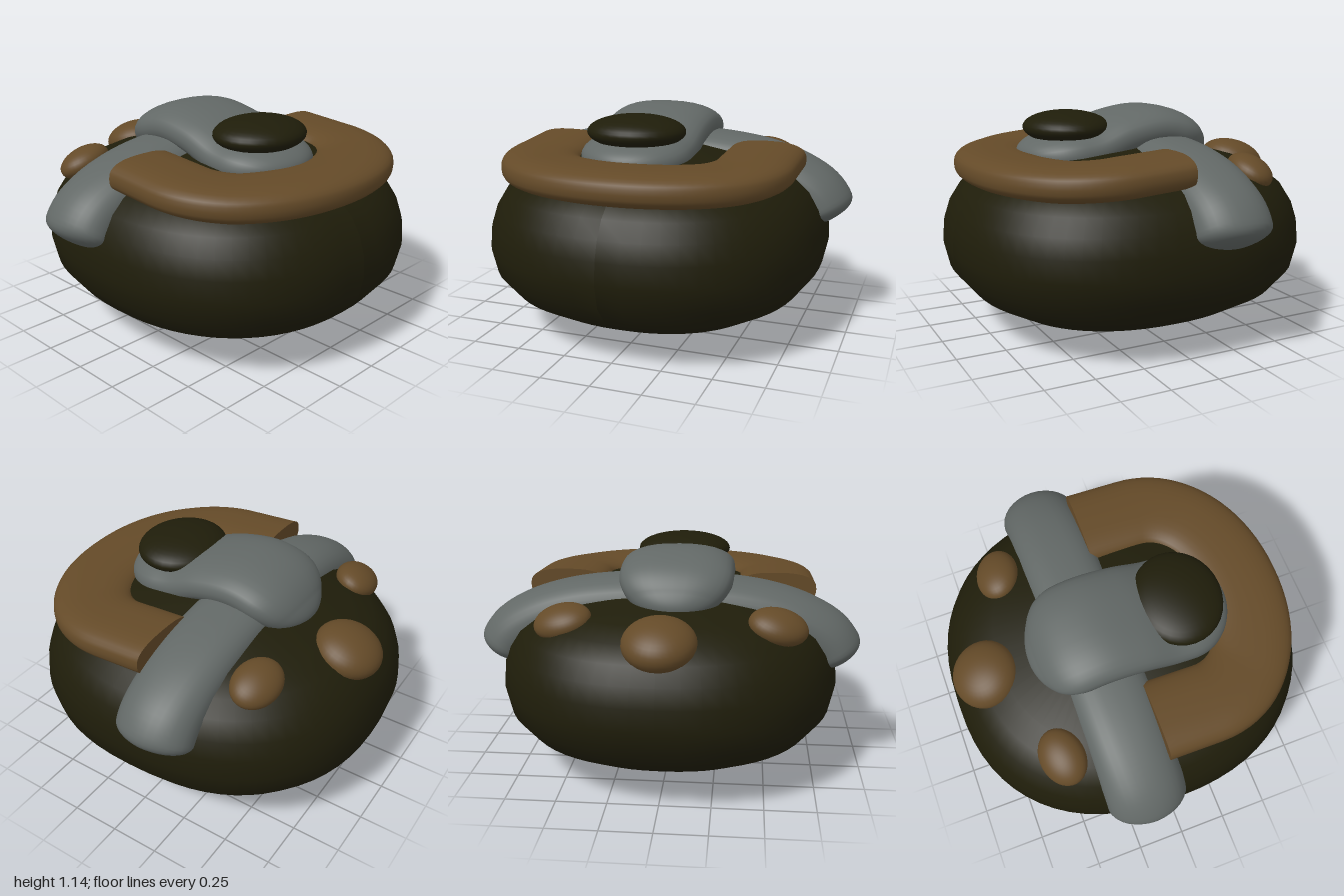
import * as THREE from 'three';

const V = (x, y, z) => new THREE.Vector3(x, y, z);

// Signed power, used to square off an ellipse
const sp = (v, e) => Math.sign(v) * Math.abs(v) ** e;

// Skin closed rings of points; optional flat end caps with hard edges
function loft(rings, capped) {
  const n = rings[0].length;
  const pos = rings.flat().flatMap((p) => [p.x, p.y, p.z]);
  const idx = [];
  for (let i = 0; i < rings.length - 1; i++) {
    for (let j = 0; j < n; j++) {
      const a = i * n + j, b = i * n + ((j + 1) % n);
      idx.push(a, b, a + n, b, b + n, a + n);
    }
  }
  if (capped) {
    [rings[0], rings[rings.length - 1]].forEach((ring, end) => {
      const base = pos.length / 3;
      ring.forEach((p) => pos.push(p.x, p.y, p.z));
      for (let j = 1; j < n - 1; j++) {
        if (end) idx.push(base, base + j, base + j + 1);
        else idx.push(base, base + j + 1, base + j);
      }
    });
  }
  const g = new THREE.BufferGeometry();
  g.setAttribute('position', new THREE.Float32BufferAttribute(pos, 3));
  g.setIndex(idx);
  g.computeVertexNormals();
  return g;
}

// Padded band along a curve with rounded ends; squareness differs at middle and ends
function band(points, halfW, halfH, capLen, midSquare, endSquare) {
  const curve = new THREE.CatmullRomCurve3(points);
  const length = curve.getLength();
  const N = 72, M = 32, rings = [];
  for (let i = 0; i <= N; i++) {
    const u = (1 - Math.cos((Math.PI * i) / N)) / 2;
    const c = curve.getPointAt(u), t = curve.getTangentAt(u);
    const side = V(0, 1, 0).cross(t).normalize();
    const up = t.clone().cross(side);
    const k = Math.max(0, 1 - (Math.min(u, 1 - u) * length) / capLen);
    const w = Math.max(0.002, Math.sqrt(1 - k * k));
    const e = THREE.MathUtils.lerp(midSquare, endSquare, Math.abs(2 * u - 1) ** 3);
    const ring = [];
    for (let j = 0; j < M; j++) {
      const a = (j / M) * Math.PI * 2;
      ring.push(c.clone()
        .addScaledVector(side, sp(Math.cos(a), e) * halfW * w)
        .addScaledVector(up, sp(Math.sin(a), e) * halfH * Math.pow(w, 0.8)));
    }
    rings.push(ring);
  }
  return loft(rings, false);
}

// Horseshoe cushion: two short legs joined by a half ellipse
function horseshoe() {
  const M = 32, rings = [], stations = [];
  const z0 = 0.25;
  for (let i = 0; i < 6; i++) stations.push([1, 0, -0.02 + (i / 6) * (z0 + 0.02)]);
  for (let i = 0; i <= 40; i++) {
    const a = (i / 40) * Math.PI;
    stations.push([sp(Math.cos(a), 0.95), sp(Math.sin(a), 0.95), z0]);
  }
  for (let i = 5; i >= 0; i--) stations.push([-1, 0, -0.02 + (i / 6) * (z0 + 0.02)]);
  for (const [cx, sz, z] of stations) {
    const zc = z + 0.4 * sz;
    const y = 0.856 + 0.035 * Math.max(0, 1 - zc / 0.5);
    const ring = [];
    for (let j = 0; j < M; j++) {
      const a = (j / M) * Math.PI * 2;
      const off = 0.202 * sp(Math.cos(a), 0.75);
      ring.push(V((0.551 + off) * cx, y + 0.085 * sp(Math.sin(a), 0.75), z + (0.405 + off) * sz));
    }
    rings.push(ring);
  }
  return loft(rings, true);
}

// Turned body whose plan is a slightly squared ellipse
function bodyGeometry() {
  const profile = [[0, 0], [0.22, 0.02], [0.42, 0.06], [0.61, 0.13], [0.76, 0.22], [0.845, 0.33],
    [0.871, 0.45], [0.862, 0.56], [0.835, 0.65], [0.785, 0.735], [0.71, 0.8], [0.6, 0.855],
    [0.4, 0.91], [0.2, 0.945], [0, 0.955]];
  const g = new THREE.LatheGeometry(profile.map((p) => new THREE.Vector2(...p)), 64);
  const pos = g.attributes.position;
  for (let i = 0; i < pos.count; i++) {
    const x = pos.getX(i), z = pos.getZ(i), r = Math.hypot(x, z) || 1;
    pos.setX(i, r * sp(x / r, 0.86));
    pos.setZ(i, 1.062 * r * sp(z / r, 0.86));
  }
  g.computeVertexNormals();
  return g;
}

export function createModel() {
  const model = new THREE.Group();
  const paint = (name, color) => {
    const m = new THREE.MeshStandardMaterial({ color });
    m.name = name;
    return m;
  };
  const olive = paint('darkOlive', 0x1f1d0a);
  const tan = paint('tan', 0x644a28);
  const grey = paint('grey', 0x626866);
  const add = (name, geometry, material) => {
    const mesh = new THREE.Mesh(geometry, material);
    mesh.name = name;
    model.add(mesh);
    return mesh;
  };
  const ball = new THREE.SphereGeometry(1, 32, 20);
  const blob = (name, material, p, r, rot = [0, 0, 0]) => {
    const mesh = add(name, ball, material);
    mesh.position.set(...p);
    mesh.scale.set(...r);
    mesh.rotation.set(...rot);
  };

  add('body', bodyGeometry(), olive);

  // Horseshoe cushion around the front
  add('horseshoeCushion', horseshoe(), tan);

  // Strap draped from side to side, its ends turned down
  const half = [[0.25, 0.842], [0.5, 0.808], [0.68, 0.75], [0.8, 0.675], [0.87, 0.56]];
  const strapPath = [
    ...half.map(([x, y]) => V(-x, y, -0.168)).reverse(),
    V(0, 0.848, -0.168),
    ...half.map(([x, y]) => V(x, y, -0.168)),
  ];
  add('sideStrap', band(strapPath, 0.203, 0.15, 0.08, 0.75, 1.08), grey);

  // Arched tongue lying over the strap
  const tonguePath = [[0.86, -0.485], [0.91, -0.415], [0.985, -0.32], [1.025, -0.17], [1.0, 0.02],
    [0.935, 0.2], [0.912, 0.38], [0.9, 0.545]].map(([y, z]) => V(-0.045, y, z));
  add('tongue', band(tonguePath, 0.284, 0.112, 0.27, 0.85, 0.9), grey);

  // Dark pad on the tongue tip
  blob('tonguePad', olive, [-0.045, 1.042, 0.285], [0.25, 0.084, 0.222]);

  // Three knobs at the back
  blob('backKnob', tan, [-0.003, 0.805, -0.722], [0.175, 0.106, 0.174], [-0.3, 0, 0]);
  for (const s of [-1, 1]) {
    blob(s > 0 ? 'leftKnob' : 'rightKnob', tan, [s * 0.515 - 0.03, 0.832, -0.5],
      [0.146, 0.076, 0.115], [-0.35, -s * 0.08, -s * 0.25]);
  }
  return model;
}
